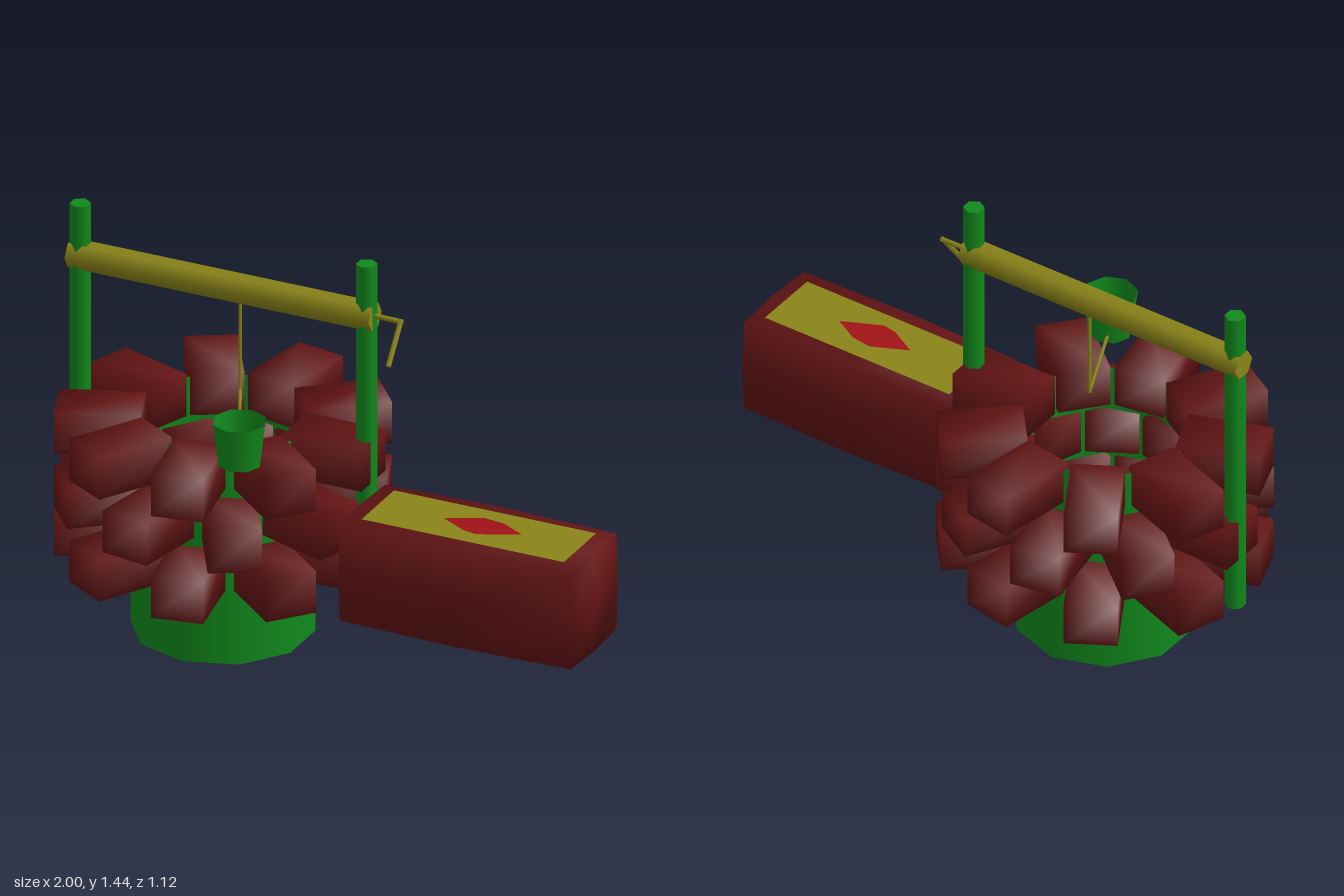
import * as THREE from 'three';
import { mergeVertices } from 'three/addons/utils/BufferGeometryUtils.js';

const material = (color) => new THREE.MeshStandardMaterial({ color, side: THREE.DoubleSide });
const green = material(0x118a1c);
const red = material(0x641414);
const olive = material(0x8a8418);
const brightRed = material(0xa01216);

const WELL_X = -0.44;

// Box whose corners share soft, averaged normals
function softBox(w, h, d, segments = 1, bulge = 0) {
  let g = new THREE.BoxGeometry(w, h, d, segments, segments, segments);
  const p = g.attributes.position;
  for (let i = 0; i < p.count; i++) {
    const u = [p.getX(i) / w, p.getY(i) / h, p.getZ(i) / d].map((t) => 2 * t);
    const s = u.map((t, k) => t * bulge * (1 - (u[(k + 1) % 3] ** 2 + u[(k + 2) % 3] ** 2) / 2));
    p.setXYZ(i, p.getX(i) + s[0], p.getY(i) + s[1], p.getZ(i) + s[2]);
  }
  g.deleteAttribute('normal');
  g.deleteAttribute('uv');
  g = mergeVertices(g);
  g.computeVertexNormals();
  return g;
}

// Straight rod between two points
function rodGeometry(a, b, radius, sides = 6) {
  const from = new THREE.Vector3(...a);
  const dir = new THREE.Vector3(...b).sub(from);
  const g = new THREE.CylinderGeometry(radius, radius, dir.length(), sides);
  g.applyQuaternion(new THREE.Quaternion().setFromUnitVectors(
    new THREE.Vector3(0, 1, 0), dir.clone().normalize()));
  const mid = from.addScaledVector(dir, 0.5);
  return g.translate(mid.x, mid.y, mid.z);
}

// Flat horizontal outline given as [x, z] points
function flatShape(points) {
  const shape = new THREE.Shape(points.map(([x, z]) => new THREE.Vector2(x, -z)));
  return new THREE.ShapeGeometry(shape).rotateX(-Math.PI / 2);
}

export function createModel() {
  const model = new THREE.Group();
  model.name = 'well';
  const add = (name, geometry, mat, parent = model) => {
    const mesh = new THREE.Mesh(geometry, mat);
    mesh.name = name;
    parent.add(mesh);
    return mesh;
  };

  // Open shaft
  add('shaft', new THREE.CylinderGeometry(0.31, 0.31, 0.78, 10, 1, true), green)
    .position.set(WELL_X, 0.39, 0);

  // Three staggered courses of nine bricks
  const brick = softBox(0.288, 0.153, 0.18).translate(0.41, 0, 0);
  [0.347, 0.534, 0.721].forEach((y, course) => {
    const ring = new THREE.Group();
    ring.name = `brickCourse${course + 1}`;
    ring.position.set(WELL_X, y, 0);
    for (let i = 0; i < 9; i++) {
      add('brick', brick, red, ring).rotation.y = ((i + (course % 2) / 2) / 9) * Math.PI * 2;
    }
    model.add(ring);
  });

  // Posts and crossbeam
  for (const [name, x] of [['rightPost', -0.966], ['leftPost', 0.09]]) {
    add(name, rodGeometry([x, 0.255, 0], [x, 1.44, 0], 0.036), green);
  }
  add('crossbeam', rodGeometry([-1, 1.25, 0], [0.12, 1.25, 0], 0.05), olive);

  // Crank handle
  add('crankAxle', rodGeometry([0.11, 1.254, 0], [0.222, 1.252, 0], 0.009), olive);
  add('crankHandle', rodGeometry([0.215, 1.258, -0.003], [0.215, 1.128, 0.095], 0.009), olive);

  // Rope from the beam to the bucket
  add('ropeDrop', rodGeometry([-0.377, 1.22, 0], [-0.377, 0.875, 0], 0.006), olive);
  add('ropeSlack', rodGeometry([-0.377, 0.877, 0], [-0.19, 0.835, 0.39], 0.006), olive);

  // Bucket
  const bucket = new THREE.Group();
  bucket.name = 'bucket';
  bucket.position.set(-0.19, 0.815, 0.388);
  add('bucketWall', new THREE.CylinderGeometry(0.093, 0.074, 0.155, 8, 1, true)
    .translate(0, 0.0775, 0), green, bucket);
  add('bucketBase', new THREE.CircleGeometry(0.074, 8).rotateX(Math.PI / 2).rotateY(Math.PI / 2)
    .translate(0, 0.001, 0), green, bucket);
  model.add(bucket);

  // Side chest with an inlaid lid
  add('chest', softBox(0.85, 0.35, 0.345, 2, 0.01), red).position.set(0.56, 0.44, 0.124);
  add('lidPanel', flatShape([[0.19, 0], [0.19, 0.245], [0.935, 0.245], [0.935, 0]]), olive)
    .position.y = 0.627;
  add('lidDiamond', flatShape([[0.433, 0.123], [0.53, 0.177], [0.583, 0.187],
    [0.72, 0.123], [0.63, 0.073], [0.556, 0.064]]), brightRed).position.y = 0.63;

  return model;
}
